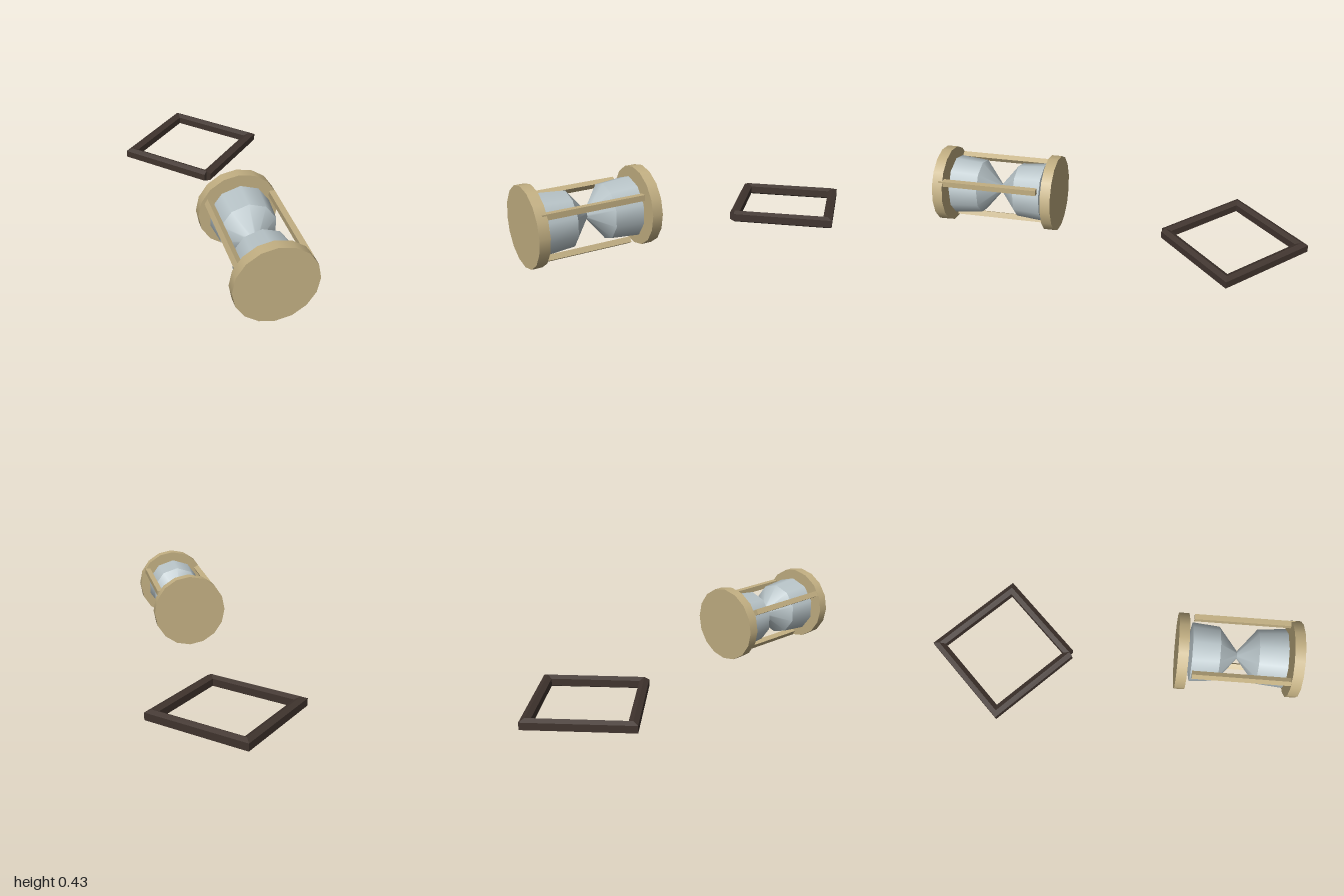
import * as THREE from 'three';
import { mergeGeometries } from 'three/addons/utils/BufferGeometryUtils.js';

const AXIS_Y = 0.22; // height of the lying hourglass's axis

const material = (color, extra = {}) => new THREE.MeshStandardMaterial({ color, ...extra });

function addMesh(parent, name, geometry, mat) {
  const mesh = new THREE.Mesh(geometry, mat);
  mesh.name = name;
  parent.add(mesh);
  return mesh;
}

// Lathe built one band at a time, so edges between bands stay sharp
function bandedLathe(points, sides) {
  const bands = [];
  for (let i = 0; i < points.length - 1; i++) {
    const pair = [points[i], points[i + 1]].map(([r, z]) => new THREE.Vector2(r, z));
    bands.push(new THREE.LatheGeometry(pair, sides));
  }
  return mergeGeometries(bands).rotateX(Math.PI / 2);
}

// Square wooden frame: hexagonal bar, mitred at three corners and butted at the front one
function frameGeometry(radius) {
  const section = [
    [0.025, 0.013], [0.025, 0.052], [0, 0.065],
    [-0.025, 0.052], [-0.025, 0.013], [0, 0],
  ];
  const n = section.length;
  const positions = [];
  const index = [];
  for (let j = 0; j <= 4; j++) {
    const a = (j * Math.PI) / 2;
    const turn = j === 0 ? Math.PI / 4 : j === 4 ? -Math.PI / 4 : 0;
    const stretch = turn === 0 ? Math.SQRT2 : 1;
    for (const [u, y] of section) {
      positions.push(
        radius * Math.sin(a) + u * stretch * Math.sin(a + turn),
        y,
        radius * Math.cos(a) + u * stretch * Math.cos(a + turn)
      );
    }
  }
  for (let j = 0; j < 4; j++) {
    for (let i = 0; i < n; i++) {
      const k = (i + 1) % n;
      const a = j * n + i, b = j * n + k, c = b + n, d = a + n;
      index.push(a, d, c, a, c, b);
    }
  }
  // End caps at the butted corner
  for (let i = 1; i < n - 1; i++) {
    index.push(0, i, i + 1, 4 * n, 4 * n + i + 1, 4 * n + i);
  }
  const geometry = new THREE.BufferGeometry();
  geometry.setAttribute('position', new THREE.Float32BufferAttribute(positions, 3));
  geometry.setIndex(index);
  const flat = geometry.toNonIndexed();
  flat.computeVertexNormals();
  return flat;
}

export function createModel() {
  const model = new THREE.Group();
  const wood = material(0xc2af82);
  const glass = material(0xb9c5c9, { side: THREE.DoubleSide });
  const darkWood = material(0x40342e, { flatShading: true });

  // Hourglass lying along z
  const hourglass = new THREE.Group();
  hourglass.name = 'hourglass';
  hourglass.position.y = AXIS_Y;
  model.add(hourglass);

  // Round end plates
  for (const [name, z0, z1] of [['frontPlate', 0.945, 1], ['backPlate', 0.35, 0.405]]) {
    const plate = new THREE.CylinderGeometry(0.205, 0.205, z1 - z0, 16).rotateX(Math.PI / 2);
    addMesh(hourglass, name, plate, wood).position.z = (z0 + z1) / 2;
  }

  // Glass: two bulbs meeting at a narrow neck
  const profile = [
    [0, 0.402], [0.09, 0.412], [0.158, 0.427], [0.145, 0.573],
    [0.02, 0.673],
    [0.145, 0.775], [0.158, 0.925], [0.09, 0.937], [0, 0.946],
  ];
  addMesh(hourglass, 'glassBulbs', bandedLathe(profile, 10), glass);

  // Three square posts around the glass
  for (let i = 0; i < 3; i++) {
    const a = Math.PI / 6 + (i * Math.PI * 2) / 3;
    const post = addMesh(hourglass, 'post', new THREE.BoxGeometry(0.03, 0.03, 0.535), wood);
    post.position.set(0.185 * Math.cos(a), 0.185 * Math.sin(a), 0.7);
    post.rotation.z = (-i * Math.PI * 2) / 3;
  }

  // Frame lying on the ground behind
  addMesh(model, 'squareFrame', frameGeometry(0.365), darkWood).position.z = -0.6;

  return model;
}
